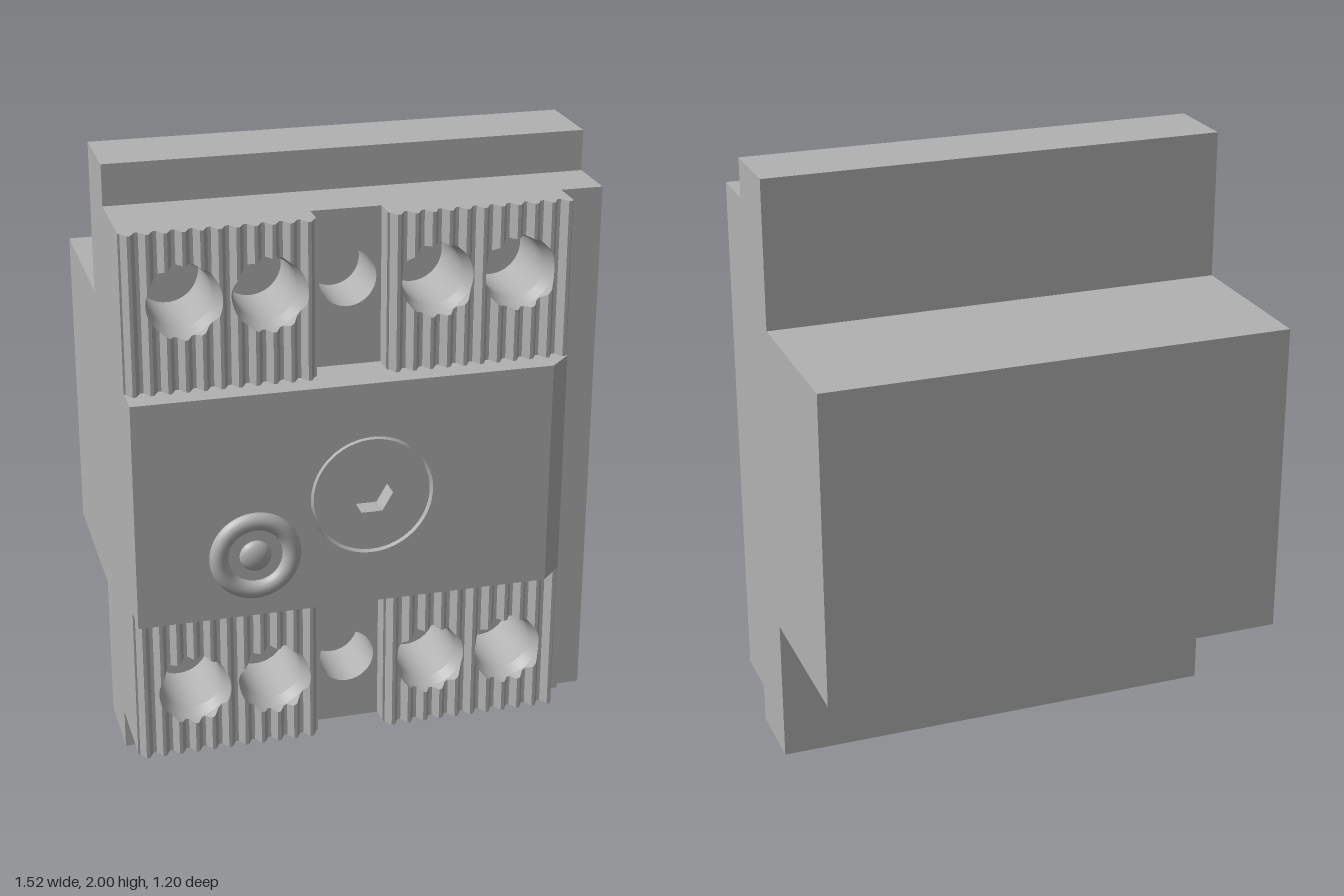
import * as THREE from 'three';

const grey = new THREE.MeshStandardMaterial({ color: 0xb2b2b2, side: THREE.DoubleSide });
grey.name = 'housing grey';

const HOLE_R = 0.115, BORE_R = 0.1, PITCH = 0.0536;
const RIB_BASE = 0.47, VALLEY = 0.478, RIDGE = 0.507;

export function createModel() {
  const model = new THREE.Group();
  model.name = 'dinRailModule';

  const add = (name, geometry, x = 0, y = 0, z = 0) => {
    const mesh = new THREE.Mesh(geometry, grey);
    mesh.name = name;
    mesh.position.set(x, y, z);
    model.add(mesh);
    return mesh;
  };
  const box = (name, x0, x1, y0, y1, z0, z1) =>
    add(name, new THREE.BoxGeometry(x1 - x0, y1 - y0, z1 - z0), (x0 + x1) / 2, (y0 + y1) / 2, (z0 + z1) / 2);

  // Rectangular slab running from z0 to z1 with round holes [x, y, r]
  const slab = (name, x0, x1, y0, y1, z0, z1, holes) => {
    const shape = new THREE.Shape([[x0, y0], [x1, y0], [x1, y1], [x0, y1]].map(p => new THREE.Vector2(...p)));
    for (const [x, y, r] of holes) shape.holes.push(new THREE.Path().absarc(x, y, r, 0, Math.PI * 2, true));
    return add(name, new THREE.ExtrudeGeometry(shape, { depth: z1 - z0, bevelEnabled: false, curveSegments: 48 }), 0, 0, z0);
  };

  // Housing: rear block, flange plate and stepped front
  box('rearBlock', -0.76, 0.76, 0.485, 1.515, -0.6, -0.05);
  box('flangePlate', -0.76, 0.76, 0, 2, -0.05, 0.205);
  box('sideStep', 0.625, 0.76, 0.13, 1.87, 0.205, 0.39);
  box('middleBody', -0.76, 0.625, 0.635, 1.37, 0.205, 0.505);

  // Terminal banks, below and above the middle body
  const groups = [[-0.76, -0.17, [-0.575, -0.315]], [0.05, 0.625, [0.205, 0.465]]];
  for (const [y0, y1, yc] of [[0.13, 0.635, 0.35], [1.37, 1.87, 1.65]]) {
    slab('centreChannel', -0.17, 0.05, y0, y1, 0.205, 0.405, [[-0.055, yc, 0.09]]);
    for (const [x0, x1, centres] of groups) {
      slab('terminalBlock', x0, x1, y0, y1, 0.205, RIB_BASE, centres.map(x => [x, yc, HOLE_R]));
      add('terminalRibs', ribs(x0, x1, y0, y1, yc, centres));
      for (const x of centres) {
        const cone = new THREE.CylinderGeometry(HOLE_R, BORE_R, 0.04, 48, 1, true);
        add('holeCountersink', cone.rotateX(Math.PI / 2), x, yc, 0.45);
        const bore = new THREE.CylinderGeometry(BORE_R, BORE_R, 0.225, 48, 1, true);
        add('holeBore', bore.rotateX(Math.PI / 2), x, yc, 0.3175);
      }
    }
  }

  // Raised front cover with a bevelled side edge
  slab('frontCover', -0.76, 0.555, 0.635, 1.37, 0.505, 0.575, [[-0.02, 1, 0.195]]);
  const wedge = new THREE.Shape([[0.555, -0.505], [0.625, -0.505], [0.555, -0.575]].map(p => new THREE.Vector2(...p)));
  const bevel = new THREE.ExtrudeGeometry(wedge, { depth: 0.735, bevelEnabled: false });
  add('coverBevel', bevel.rotateX(-Math.PI / 2).scale(1, 1, 1), 0, 0.635, 0);

  // Round dial with a hexagonal socket
  const dial = new THREE.Shape().absarc(0, 0, 0.185, 0, Math.PI * 2);
  const hex = Array.from({ length: 6 }, (_, i) => {
    const a = -i * Math.PI / 3;
    return new THREE.Vector2(0.067 * Math.cos(a), 0.067 * Math.sin(a));
  });
  dial.holes.push(new THREE.Path(hex));
  add('dial', new THREE.ExtrudeGeometry(dial, { depth: 0.067, bevelEnabled: false, curveSegments: 48 }), -0.02, 1, 0.505);

  // Push button: rounded ring and small dome
  add('buttonRing', new THREE.TorusGeometry(0.115, 0.03, 24, 64), -0.39, 0.84, 0.57);
  const dome = new THREE.SphereGeometry(0.05, 32, 12, 0, Math.PI * 2, 0, Math.PI / 2);
  add('buttonDome', dome.rotateX(Math.PI / 2).scale(1, 1, 0.55), -0.39, 0.84, 0.575);

  return model;
}

// Height of the trapezoidal ribs at distance d from the start of a bank
function ribHeight(d) {
  const u = (d / PITCH) % 1;
  const t = THREE.MathUtils.clamp((0.4 - Math.abs(u - 0.5)) / 0.3, 0, 1);
  return VALLEY + (RIDGE - VALLEY) * t;
}

// Ribbed surface cut by round holes: columns across x, one strip below and one above the holes
function ribs(x0, x1, y0, y1, yc, centres) {
  const xs = [x0, x1];
  for (let k = 0; k * PITCH < x1 - x0; k++)
    for (const u of [0.1, 0.4, 0.6, 0.9]) xs.push(x0 + (k + u) * PITCH);
  for (const c of centres)
    for (let i = 0; i <= 32; i++) xs.push(c - HOLE_R * Math.cos(i * Math.PI / 32));
  const cols = xs.filter(x => x <= x1).sort((a, b) => a - b).filter((x, i, s) => !i || x - s[i - 1] > 1e-6);

  const section = (x, upper) => {
    const z = ribHeight(x - x0);
    const h = Math.max(0, ...centres.map(c => Math.sqrt(Math.max(0, HOLE_R ** 2 - (x - c) ** 2))));
    const [a, b] = upper ? [yc + h, y1] : [y0, yc - h];
    return [[x, a, RIB_BASE], [x, a, z], [x, b, z], [x, b, RIB_BASE]];
  };
  const pos = [];
  for (const upper of [false, true])
    for (let i = 0; i < cols.length - 1; i++) {
      const p = section(cols[i], upper), q = section(cols[i + 1], upper);
      for (let r = 0; r < 3; r++)
        pos.push(...p[r], ...q[r], ...q[r + 1], ...p[r], ...q[r + 1], ...p[r + 1]);
    }
  const geometry = new THREE.BufferGeometry();
  geometry.setAttribute('position', new THREE.Float32BufferAttribute(pos, 3));
  geometry.computeVertexNormals();
  return geometry;
}
